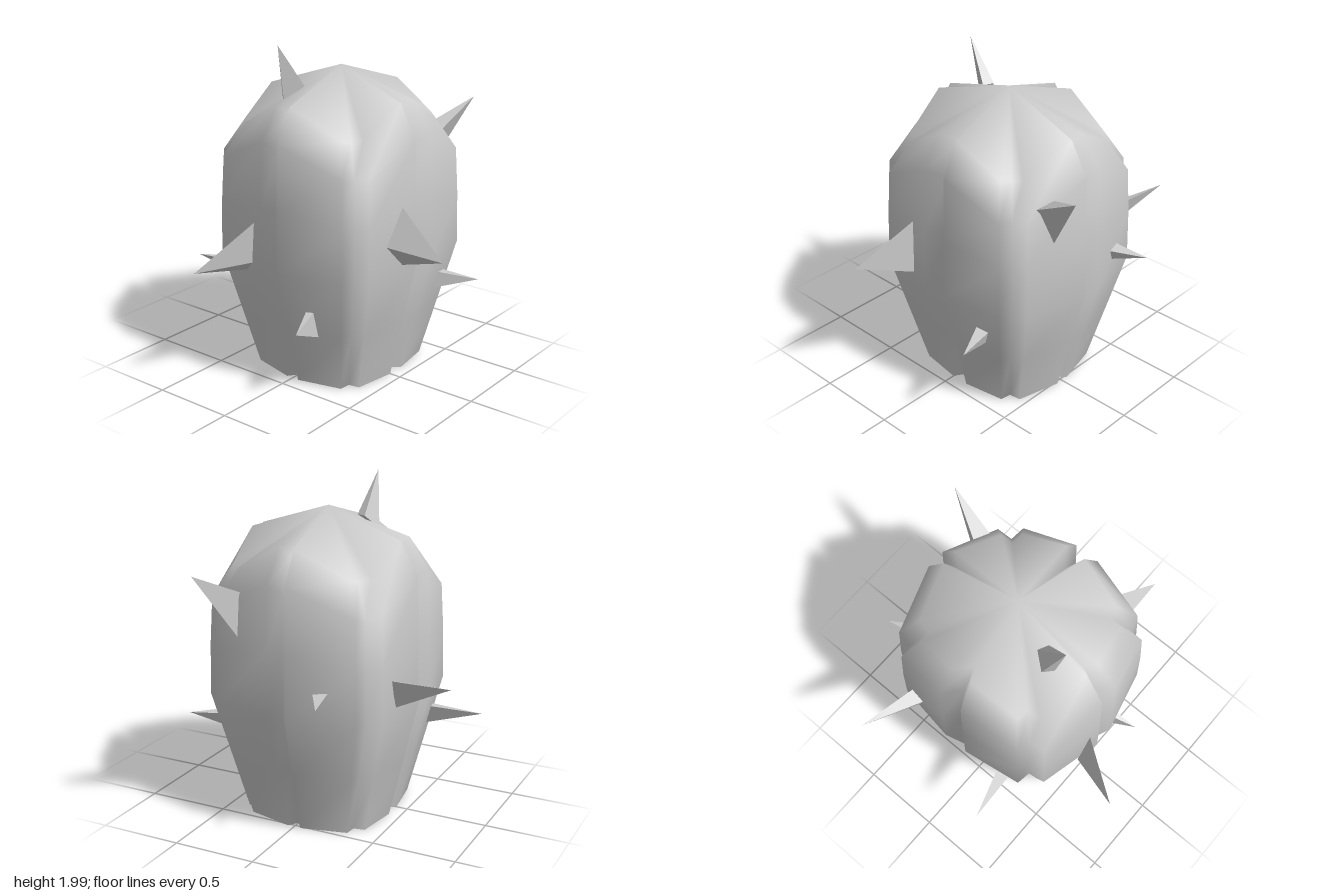
import * as THREE from 'three';
import { ConvexGeometry } from 'three/addons/geometries/ConvexGeometry.js';

const CENTRE_Z = -0.055;

// One quarter of the ribbed cross-section: x, z, and how far its shoulder sags
const QUARTER = [
  [0.49, 0, 0.06], [0.612, 0.08, 0], [0.555, 0.45, 0.16], [0.46, 0.465, 0.18],
  [0.45, 0.565, 0.16], [0.06, 0.66, 0],
];
const NOTCH = [0, 0.58, 0.06];

// Rings up the body: height, scale, share of the sag
const RINGS = [
  [0.01, 0.7, 0], [0.38, 0.85, 0], [0.75, 1, 0], [1.12, 0.99, 0.4], [1.5, 0.965, 1], [1.69, 0.78, 1],
];

// Mirror the quarter into a full loop running from +x towards +z
function crossSection() {
  const mirror = (points, sx, sz) => points.map(([x, z, s]) => [x * sx, z * sz, s]);
  const arc = [...QUARTER, NOTCH];
  const back = arc.slice().reverse();
  return [
    ...mirror(arc, 1, 1),
    ...mirror(back, -1, 1).slice(1),
    ...mirror(arc, -1, -1).slice(1),
    ...mirror(back, 1, -1).slice(1, -1),
  ];
}

// Open-bottomed ribbed shell closed by a pointed crown
function bodyGeometry() {
  const loop = crossSection();
  const n = loop.length;
  const positions = [];
  const index = [];
  for (const [y, scale, share] of RINGS) {
    for (const [x, z, sag] of loop) {
      positions.push(x * scale, y - sag * share, z * scale + CENTRE_Z);
    }
  }
  positions.push(0, 1.845, CENTRE_Z - 0.01);
  const apex = RINGS.length * n;
  for (let r = 0; r < RINGS.length; r++) {
    for (let i = 0; i < n; i++) {
      const a = r * n + i;
      const b = r * n + ((i + 1) % n);
      if (r === RINGS.length - 1) index.push(a, apex, b);
      else index.push(a, a + n, b, b, a + n, b + n);
    }
  }
  const geometry = new THREE.BufferGeometry();
  geometry.setAttribute('position', new THREE.Float32BufferAttribute(positions, 3));
  geometry.setIndex(index);
  geometry.computeVertexNormals();
  return geometry;
}

// Each spine: tip first, then the corners of its base
const SPINES = {
  topSpine: [[-0.12, 2, 0.36], [-0.18, 1.67, 0.25], [-0.13, 1.67, 0.3], [-0.06, 1.75, 0.2], [-0.12, 1.75, 0.17]],
  leftLargeSpine: [[0.935, 0.92, 0.25], [0.58, 1.14, 0.13], [0.58, 0.79, 0.13], [0.57, 0.93, 0.26]],
  leftSmallSpine: [[0.76, 0.57, -0.43], [0.54, 0.6, -0.32], [0.53, 0.59, -0.4], [0.53, 0.5, -0.3], [0.52, 0.5, -0.37]],
  rightUpperSpine: [[-0.94, 1, -0.49], [-0.57, 0.97, -0.42], [-0.57, 0.8, -0.37], [-0.58, 0.94, -0.33]],
  rightLowerSpine: [[-0.845, 0.58, 0.31], [-0.55, 0.61, 0.22], [-0.53, 0.6, 0.3], [-0.51, 0.49, 0.25]],
  frontLargeSpine: [[-0.3, 0.76, 0.9], [-0.12, 1.02, 0.58], [-0.2, 0.71, 0.57], [-0.14, 0.77, 0.58]],
  frontSmallSpine: [[0.26, 0.46, 0.68], [0.19, 0.53, 0.5], [0.24, 0.53, 0.5], [0.17, 0.36, 0.46], [0.24, 0.36, 0.45]],
  backLargeSpine: [[0.4, 1.56, -0.9], [0.25, 1.42, -0.62], [0.36, 1.4, -0.6], [0.27, 1.17, -0.65]],
  backSmallSpine: [[-0.32, 0.9, -0.855], [-0.29, 0.93, -0.64], [-0.2, 0.92, -0.66], [-0.23, 0.85, -0.66]],
};

export function createModel() {
  const group = new THREE.Group();
  group.name = 'spinyRibbedCactus';

  const body = new THREE.Mesh(
    bodyGeometry(),
    new THREE.MeshStandardMaterial({ color: 0xcccccc, side: THREE.DoubleSide }),
  );
  body.name = 'ribbedBody';
  group.add(body);

  const spineMaterial = new THREE.MeshStandardMaterial({ color: 0xcccccc, flatShading: true });
  for (const [name, points] of Object.entries(SPINES)) {
    const spine = new THREE.Mesh(
      new ConvexGeometry(points.map((p) => new THREE.Vector3(...p))),
      spineMaterial,
    );
    spine.name = name;
    group.add(spine);
  }
  return group;
}
